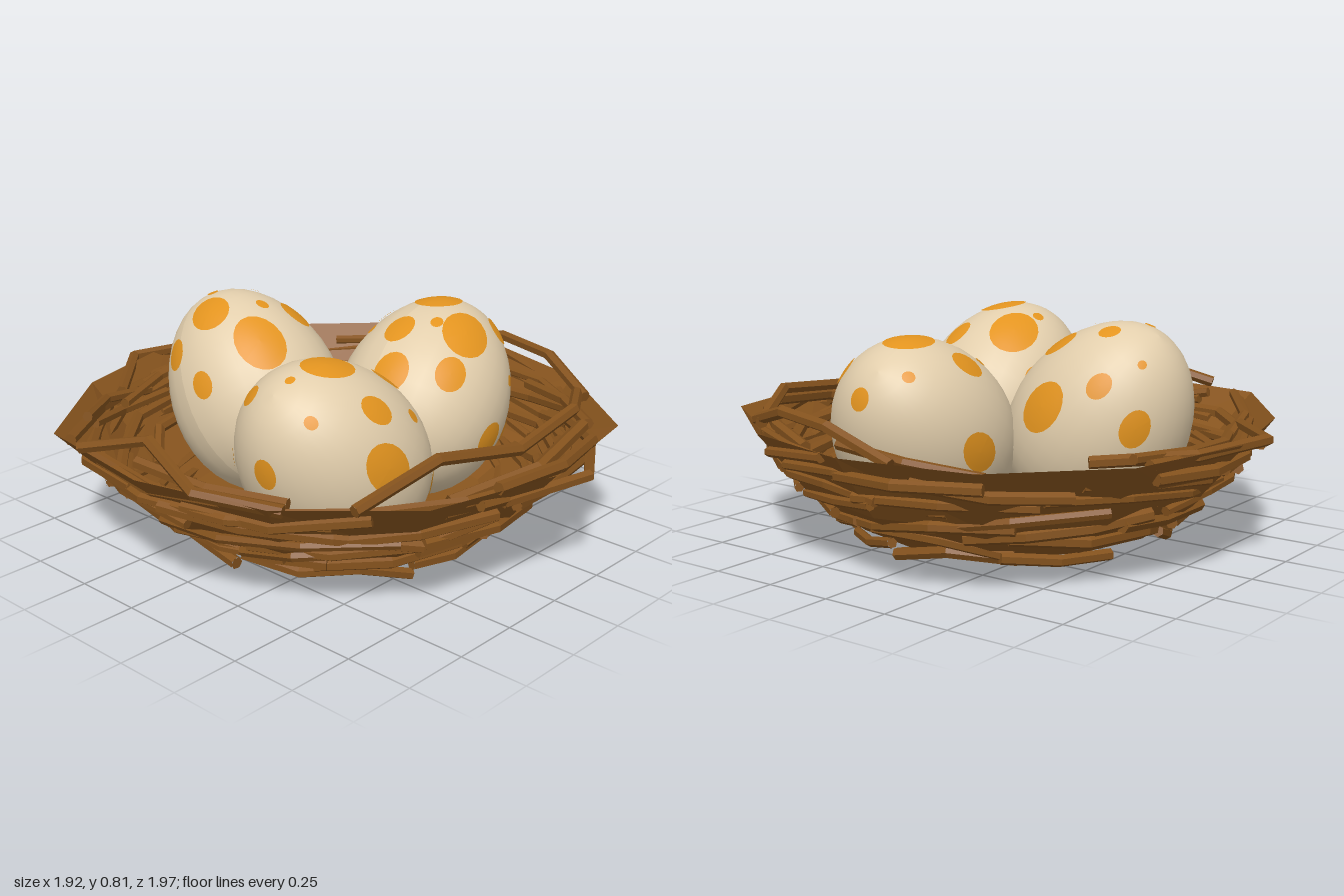
import * as THREE from 'three';
import { mergeGeometries } from 'three/addons/utils/BufferGeometryUtils.js';

const V = (x, y, z) => new THREE.Vector3(x, y, z);

// Small seeded generator for twig variation
let seed = 11;
const rand = (a, b) => {
  seed = (seed * 16807) % 2147483647;
  return a + (b - a) * (seed / 2147483647);
};

// Bowl: profile of radius and height, and the rim radius at each of twelve corners
const PROFILE = [[0, 0.072], [0.57, 0.072], [0.77, 0.22], [0.96, 0.455]];
const RIM = [0.98, 1.02, 0.95, 0.94, 0.98, 0.97, 0.95, 0.955, 1.03, 0.96, 0.96, 0.98];
const FLOOR_Y = PROFILE[0][1], RIM_Y = PROFILE[3][1];
const CORNER = Math.PI / 6;

// How far the uneven rim pulls the wall in or out at height y
const rimPull = (corner, y) =>
  1 + (RIM[corner % 12] / 0.96 - 1) * THREE.MathUtils.clamp((y - FLOOR_Y) / (RIM_Y - FLOOR_Y), 0, 1);

// Wall radius at height y and angle a, following the flat sides
function wallRadius(y, a) {
  const h = THREE.MathUtils.clamp(y, FLOOR_Y, RIM_Y);
  const [low, high] = h < 0.22 ? [PROFILE[1], PROFILE[2]] : [PROFILE[2], PROFILE[3]];
  const r = THREE.MathUtils.mapLinear(h, low[1], high[1], low[0], high[0]);
  const t = THREE.MathUtils.euclideanModulo(a, Math.PI * 2) / CORNER;
  const i = Math.floor(t);
  const pull = THREE.MathUtils.lerp(rimPull(i, h), rimPull(i + 1, h), t - i);
  return r * pull * Math.cos(CORNER / 2) / Math.cos((t - i - 0.5) * CORNER);
}

function bowlGeometry() {
  const geo = new THREE.LatheGeometry(PROFILE.map((p) => new THREE.Vector2(...p)), 12);
  const pos = geo.attributes.position;
  for (let i = 0; i < pos.count; i++) {
    const pull = rimPull(Math.floor(i / PROFILE.length), pos.getY(i));
    pos.setXYZ(i, pos.getX(i) * pull, pos.getY(i), pos.getZ(i) * pull);
  }
  return geo;
}

// Bent stick with closed ends, straight between its points
function twigGeometry(points, radius) {
  const path = new THREE.CatmullRomCurve3(points, false, 'chordal', 0);
  const tube = new THREE.TubeGeometry(path, points.length - 1, radius, 6, false);
  const caps = [0, 1].map((t) => {
    const dir = path.getTangentAt(t).multiplyScalar(t ? 1 : -1);
    const cap = new THREE.CircleGeometry(radius, 6);
    cap.applyQuaternion(new THREE.Quaternion().setFromUnitVectors(V(0, 0, 1), dir));
    const p = path.getPointAt(t);
    return cap.translate(p.x, p.y, p.z);
  });
  return mergeGeometries([tube, ...caps]);
}

// One ring of overlapping twigs following the wall
function twigRow(y, count, offset, wobble) {
  const twigs = [];
  const start = rand(0, 6.28);
  for (let i = 0; i < count; i++) {
    const a0 = start + (i / count) * Math.PI * 2 + rand(-0.2, 0.2);
    const n = 3 + Math.floor(rand(0, 2));
    const step = rand(0.28, 0.4);
    const slope = rand(-0.045, 0.045);
    const points = [];
    for (let j = 0; j < n; j++) {
      const py = Math.max(0.025, y + slope * (j - (n - 1) / 2) + rand(-wobble, wobble));
      const a = a0 + j * step;
      const r = wallRadius(py, a) + offset + rand(-0.015, 0.015);
      points.push(V(Math.sin(a) * r, py, Math.cos(a) * r));
    }
    twigs.push(twigGeometry(points, rand(0.017, 0.025)));
  }
  return mergeGeometries(twigs);
}

// Egg surface point for a unit direction; the upper end is narrower
const HALF_LENGTH = 0.395, HALF_WIDTH = 0.318;
function eggPoint(d, lift = 0) {
  const w = HALF_WIDTH * (1 - 0.09 * d.y) + lift;
  return V(d.x * w, d.y * (HALF_LENGTH + lift), d.z * w);
}

// Wrap a unit sphere, or a piece of one, onto the egg
function wrapOnEgg(geo, lift) {
  const pos = geo.attributes.position;
  for (let i = 0; i < pos.count; i++) {
    const p = eggPoint(V(0, 0, 0).fromBufferAttribute(pos, i), lift);
    pos.setXYZ(i, p.x, p.y, p.z);
  }
  geo.computeVertexNormals();
  return geo;
}

// Thin round patch around direction d
function spotGeometry(d, size) {
  const geo = new THREE.SphereGeometry(1, 18, 4, 0, Math.PI * 2, 0, size / 0.34);
  geo.applyQuaternion(new THREE.Quaternion().setFromUnitVectors(V(0, 1, 0), d));
  return wrapOnEgg(geo, 0.004);
}

// Spots are [x, z, size] as seen from above; sides are [dx, dy, dz, size]
function makeEgg(name, center, lean, spots, sides, shellMat, spotMat) {
  const egg = new THREE.Group();
  egg.name = name;
  egg.position.copy(center);
  egg.quaternion.setFromUnitVectors(V(0, 1, 0), lean.clone().normalize());
  const shell = new THREE.Mesh(wrapOnEgg(new THREE.SphereGeometry(1, 32, 20), 0), shellMat);
  shell.name = 'eggShell';
  egg.add(shell);

  const inverse = egg.quaternion.clone().invert();
  const toDirection = (v) => {
    v.applyQuaternion(inverse);
    const y = v.y / HALF_LENGTH;
    const w = HALF_WIDTH * (1 - 0.09 * y);
    return V(v.x / w, y, v.z / w);
  };
  const patches = spots.map(([x, z, size]) => {
    // Drop a vertical line onto the egg by halving the height range
    let low = -0.02, high = 0.6;
    for (let i = 0; i < 24; i++) {
      const mid = (low + high) / 2;
      if (toDirection(V(x - center.x, mid, z - center.z)).length() < 1) low = mid;
      else high = mid;
    }
    return spotGeometry(toDirection(V(x - center.x, low, z - center.z)).normalize(), size);
  });
  for (const [x, y, z, size] of sides) {
    patches.push(spotGeometry(toDirection(V(x, y, z).multiplyScalar(0.34)).normalize(), size));
  }
  const spotMesh = new THREE.Mesh(mergeGeometries(patches), spotMat);
  spotMesh.name = 'eggSpots';
  egg.add(spotMesh);
  return egg;
}

export function createModel() {
  const model = new THREE.Group();
  model.name = 'nestWithEggs';
  const material = (name, color, extra = {}) => {
    const m = new THREE.MeshStandardMaterial({ color, ...extra });
    m.name = name;
    return m;
  };
  const bowlMat = material('bowlBrown', 0x8a561f, { flatShading: true, side: THREE.DoubleSide });
  const twigMat = material('twigBrown', 0x84521d, { flatShading: true });
  const shellMat = material('shellCream', 0xe2ceac);
  const spotMat = material('spotOrange', 0xe3941f);
  const add = (name, geo, mat) => {
    const mesh = new THREE.Mesh(geo, mat);
    mesh.name = name;
    model.add(mesh);
  };
  add('bowl', bowlGeometry(), bowlMat);

  // Woven twigs outside, inside and under the base
  const outer = [0.13, 0.19, 0.25, 0.31, 0.37];
  add('outerTwigs', mergeGeometries(outer.map((y) => twigRow(y, 8, 0.018, 0.022))), twigMat);
  const inner = [0.24, 0.3, 0.36, 0.41];
  add('innerTwigs', mergeGeometries(inner.map((y) => twigRow(y, 7, -0.03, 0.015))), twigMat);
  add('upperTwigs', twigRow(0.43, 6, -0.09, 0.012), twigMat);
  add('baseTwigs', twigRow(0.075, 9, 0.03, 0.035), twigMat);

  // Stray twigs that stick out past the rim
  const stray = [
    [V(-0.42, 0.43, -0.72), V(-0.11, 0.45, -0.975), V(0.24, 0.44, -0.84), V(0.42, 0.43, -0.62)],
    [V(-0.15, 0.38, 0.88), V(0.23, 0.39, 0.97), V(0.5, 0.36, 0.78)],
    [V(0.82, 0.4, -0.5), V(0.94, 0.4, -0.23), V(0.88, 0.38, 0.05)],
    [V(-0.93, 0.47, -0.32), V(-0.85, 0.55, -0.1), V(-0.92, 0.47, 0.2), V(-0.78, 0.44, 0.5)],
    [V(0.66, 0.46, 0.64), V(0.83, 0.55, 0.25), V(0.87, 0.5, 0), V(0.86, 0.44, -0.16)],
    [V(-0.66, 0.46, 0.69), V(-0.27, 0.54, 0.74), V(0.1, 0.48, 0.8), V(0.42, 0.52, 0.76), V(0.7, 0.46, 0.58)],
  ];
  add('strayTwigs', mergeGeometries(stray.map((p) => twigGeometry(p, 0.022))), twigMat);

  // Three speckled eggs leaning outward
  model.add(makeEgg('rightFrontEgg', V(-0.35, 0.442, 0.3), V(-0.68, 0.73, 0), [
    [-0.41, 0.34, 0.095], [-0.25, 0.17, 0.1], [-0.18, 0.39, 0.055], [-0.38, 0.53, 0.055],
    [-0.61, 0.19, 0.045], [-0.39, 0.16, 0.025], [-0.56, 0.32, 0.02], [-0.04, 0.35, 0.08],
    [-0.6, 0.45, 0.025], [-0.2, 0.53, 0.025], [-0.2, 0.04, 0.04],
  ], [
    [-0.17, 0.18, 1, 0.085], [0.67, -0.31, 0.67, 0.06], [-0.97, 0.13, 0.09, 0.05],
    [-0.7, 0.03, -0.7, 0.08], [-0.45, 0.45, -0.75, 0.055],
  ], shellMat, spotMat));
  model.add(makeEgg('leftEgg', V(0.345, 0.432, 0.14), V(0.75, 0.64, -0.16), [
    [0.36, 0.31, 0.1], [0.46, 0.1, 0.1], [0.21, 0.12, 0.06], [0.07, 0.2, 0.07],
    [0.2, 0.37, 0.06], [0.35, -0.07, 0.06], [0.57, 0.29, 0.06], [0.3, 0.22, 0.025],
    [0.23, -0.03, 0.02], [0.6, -0.02, 0.025],
  ], [
    [0.9, 0.42, -0.06, 0.045], [-0.08, -0.26, 0.96, 0.06], [0.39, -0.36, 0.83, 0.05],
    [0.48, 0.24, 0.84, 0.02], [0.2, -0.1, -1, 0.07],
  ], shellMat, spotMat));
  model.add(makeEgg('backEgg', V(-0.095, 0.45, -0.335), V(-0.02, 0.82, -0.57), [
    [-0.24, -0.41, 0.085], [-0.21, -0.18, 0.1], [-0.14, -0.5, 0.025], [0.01, -0.43, 0.04],
    [0.03, -0.24, 0.06], [-0.09, -0.29, 0.025], [0.04, -0.58, 0.018], [-0.04, -0.03, 0.05],
    [0.15, -0.48, 0.045],
  ], [
    [1, 0.3, 0.18, 0.085], [0.6, 0.1, -0.8, 0.06], [-0.75, 0.49, -0.43, 0.055], [-0.93, 0.33, 0.13, 0.045],
  ], shellMat, spotMat));

  return model;
}
